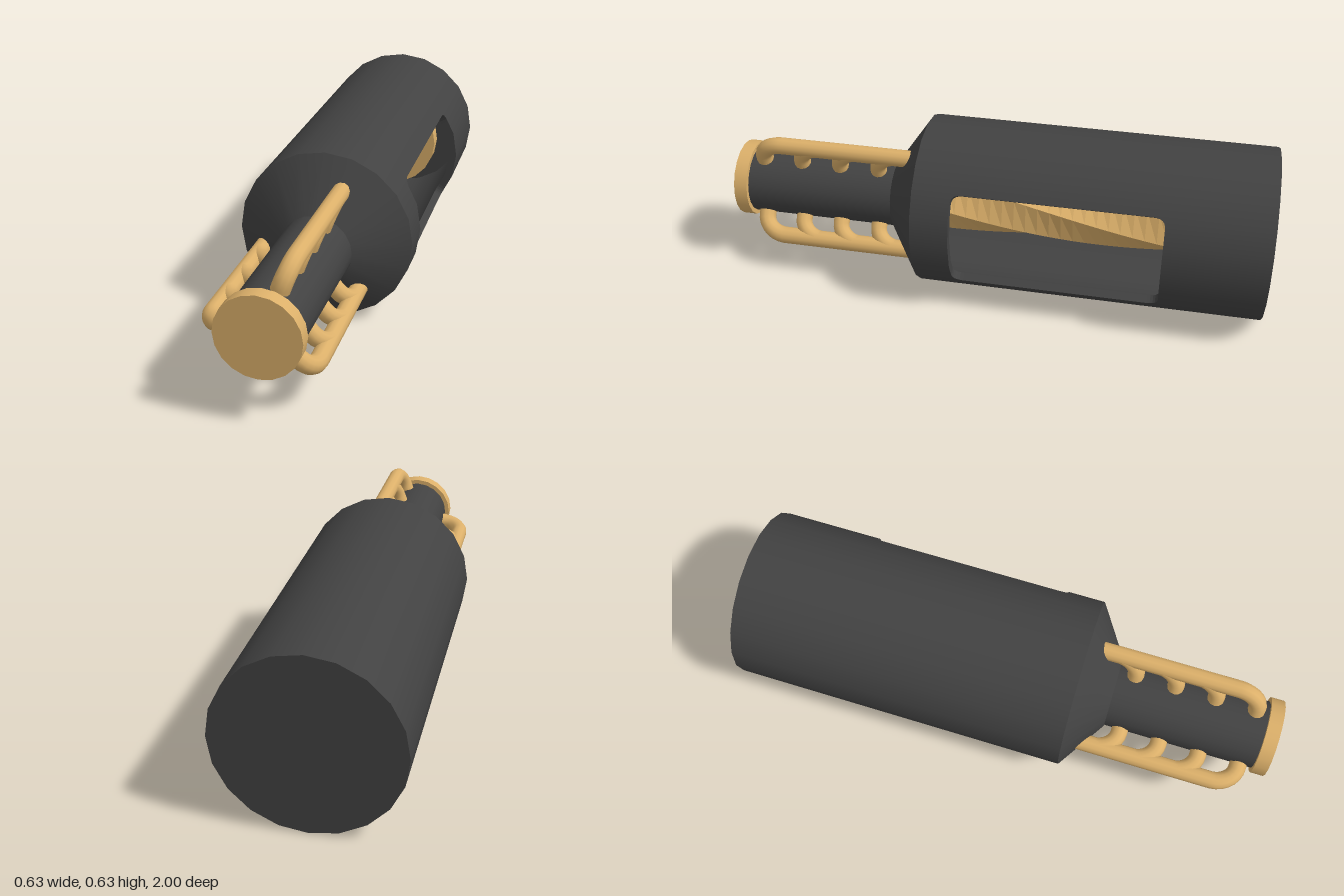
import * as THREE from 'three';

const SIDES = 20, R = 0.316, WALL = 0.03, BACK = -1, FRONT = 0.265;
const STEP = (Math.PI * 2) / SIDES;
const WIDTH = 2 * R * Math.sin(STEP / 2);

const dark = new THREE.MeshStandardMaterial({ color: 0x424242 });
const darkThin = new THREE.MeshStandardMaterial({ color: 0x424242, side: THREE.DoubleSide });
const gold = new THREE.MeshStandardMaterial({ color: 0xdcb06a });
const goldFlat = new THREE.MeshStandardMaterial({ color: 0xdcb06a, flatShading: true });

function add(parent, name, geometry, material) {
  const mesh = new THREE.Mesh(geometry, material);
  mesh.name = name;
  parent.add(mesh);
  return mesh;
}

// Wraps an upright panel (x across, y along the axis, z outward) onto one side of the barrel
function wrapPanel(shape, k) {
  const g = new THREE.ExtrudeGeometry(shape, { depth: WALL, bevelEnabled: false, curveSegments: 6 });
  const p = g.attributes.position, n = g.attributes.normal;
  const a = k * STEP, b = a + STEP;
  for (let i = 0; i < p.count; i++) {
    const t = p.getX(i) / WIDTH, d = R - WALL + p.getZ(i);
    const x = THREE.MathUtils.lerp(Math.cos(a), Math.cos(b), t);
    const y = THREE.MathUtils.lerp(Math.sin(a), Math.sin(b), t);
    const len = Math.hypot(x, y), cx = x / len, cy = y / len;
    const nx = n.getX(i), ny = n.getY(i), nz = n.getZ(i);
    p.setXYZ(i, x * d, y * d, p.getY(i));
    n.setXYZ(i, -cy * nx + cx * nz, cx * nx + cy * nz, ny);
  }
  return g;
}

// Panel from one z to another; corner -1 or 1 adds a fillet on that side at the window edge
function panel(outer, edge, corner = 0) {
  const s = new THREE.Shape(), r = 0.04;
  const u = (v) => (corner > 0 ? WIDTH - v : v);
  const into = Math.sign(edge - outer) * r;
  s.moveTo(u(0), outer);
  s.lineTo(u(WIDTH), outer);
  s.lineTo(u(WIDTH), edge);
  if (corner) {
    s.lineTo(u(r), edge);
    s.quadraticCurveTo(u(0), edge, u(0), edge + into);
  } else s.lineTo(u(0), edge);
  s.closePath();
  return s;
}

// Path in the (radius, z) plane: rises from the neck and bends back along it
function hook(z, tail) {
  const v = (r, zz) => new THREE.Vector3(r, 0, zz);
  const path = new THREE.CurvePath();
  path.add(new THREE.LineCurve3(v(0.1, z), v(0.14, z)));
  path.add(new THREE.CubicBezierCurve3(v(0.14, z), v(0.182, z), v(0.213, z - 0.04), v(0.213, z - 0.085)));
  if (tail !== undefined) path.add(new THREE.LineCurve3(v(0.213, z - 0.085), v(0.213, tail)));
  return path;
}

export function createModel() {
  const model = new THREE.Group();
  const core = new THREE.Group();
  core.name = 'device';
  core.position.y = R;
  model.add(core);

  // Barrel shell with a rounded window on the +x side
  const barrel = new THREE.Group();
  barrel.name = 'barrel';
  core.add(barrel);
  for (let k = -SIDES / 2; k < SIDES / 2; k++) {
    if (k < -2 || k > 1) add(barrel, 'barrelPanel', wrapPanel(panel(BACK, FRONT), k), dark);
    else {
      const corner = k === -2 ? -1 : k === 1 ? 1 : 0;
      add(barrel, 'windowFrontPanel', wrapPanel(panel(FRONT, 0.125, corner), k), dark);
      add(barrel, 'windowRearPanel', wrapPanel(panel(BACK, -0.63, corner), k), dark);
    }
  }
  for (const [name, z] of [['rearCover', BACK], ['frontBulkhead', FRONT]])
    add(core, name, new THREE.CircleGeometry(R, SIDES), darkThin).position.z = z;

  // Tapered shoulder and neck
  const along = (g, z) => g.rotateX(Math.PI / 2).translate(0, 0, z);
  add(core, 'shoulder', along(new THREE.CylinderGeometry(0.13, R, 0.125, SIDES, 1, true), FRONT + 0.0625), dark);
  add(core, 'neck', along(new THREE.CylinderGeometry(0.127, 0.127, 0.6, SIDES), 0.66), dark);
  add(core, 'endCap', along(new THREE.CylinderGeometry(0.144, 0.144, 0.05, SIDES), 0.975), gold);

  // Twisted hexagonal rod inside the barrel
  const rod = along(new THREE.CylinderGeometry(0.112, 0.112, 1.06, 6, 24), -0.25);
  const p = rod.attributes.position;
  for (let i = 0; i < p.count; i++) {
    const a = (p.getZ(i) - 0.125) * 1.8 + Math.PI / 6, x = p.getX(i), y = p.getY(i);
    p.setXY(i, x * Math.cos(a) - y * Math.sin(a), x * Math.sin(a) + y * Math.cos(a));
  }
  add(core, 'twistedRod', rod, goldFlat);
  add(core, 'rodFlange', along(new THREE.CylinderGeometry(0.2, 0.2, 0.06, SIDES), -0.78), gold);

  // Three branching pipes around the neck
  for (const degrees of [70, 190, 310]) {
    const pipe = new THREE.Group();
    pipe.name = 'branchedPipe';
    pipe.rotation.z = THREE.MathUtils.degToRad(degrees);
    core.add(pipe);
    add(pipe, 'mainPipe', new THREE.TubeGeometry(hook(0.9, 0.27), 40, 0.032, 12), gold);
    for (const z of [0.75, 0.6, 0.45])
      add(pipe, 'pipeBranch', new THREE.TubeGeometry(hook(z), 12, 0.031, 12), gold);
  }
  return model;
}
